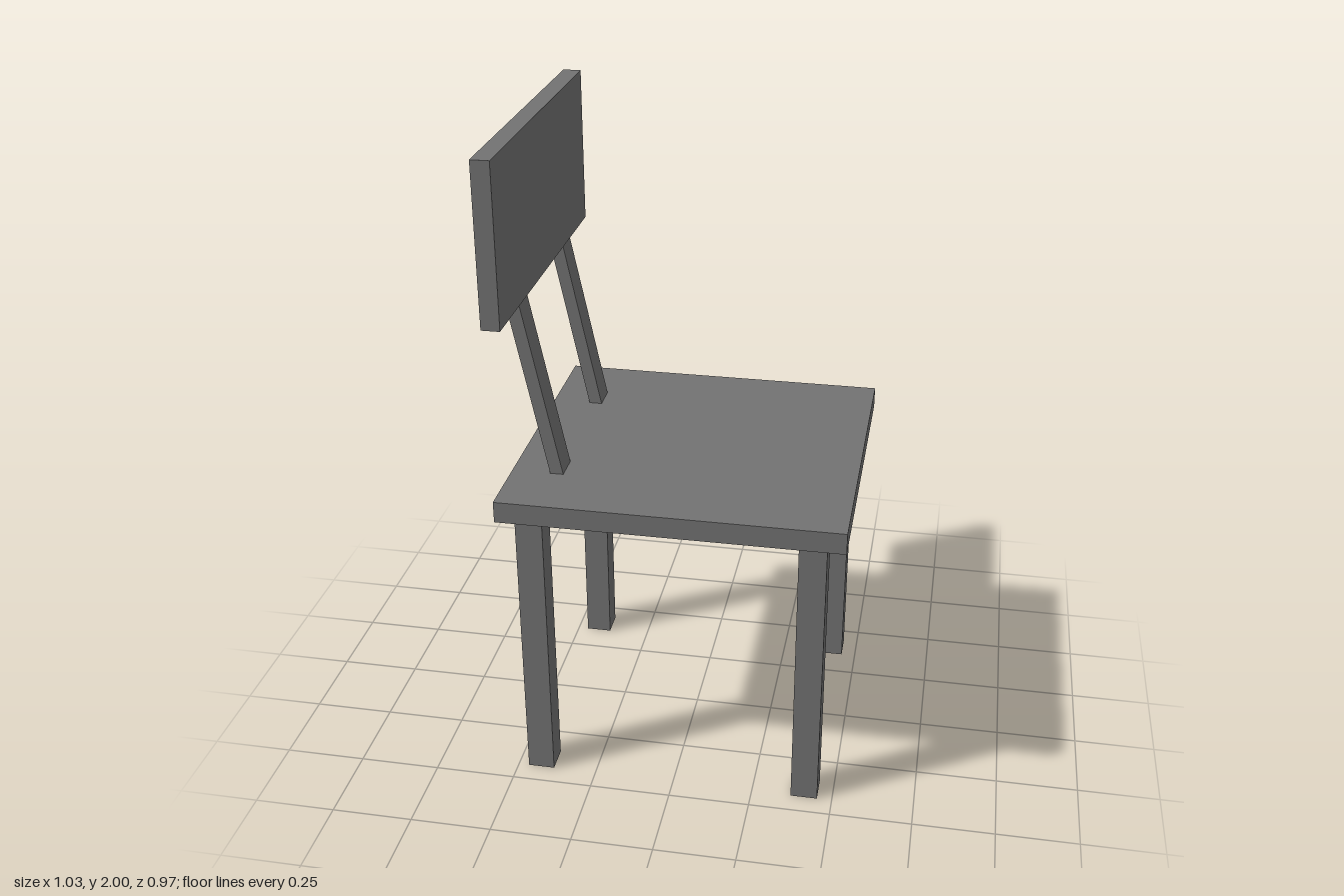
import * as THREE from 'three';

export function createModel() {
  const group = new THREE.Group();
  group.name = 'chair';
  const grey = new THREE.MeshStandardMaterial({ color: 0x737373 });
  grey.name = 'grey';

  // Box given by its minimum and maximum corners
  const box = (name, [x0, y0, z0], [x1, y1, z1]) => {
    const geometry = new THREE.BoxGeometry(x1 - x0, y1 - y0, z1 - z0);
    const mesh = new THREE.Mesh(geometry, grey);
    mesh.position.set((x0 + x1) / 2, (y0 + y1) / 2, (z0 + z1) / 2);
    mesh.name = name;
    group.add(mesh);
    return mesh;
  };

  // Seat and backrest panel
  box('seat', [-0.512, 0.917, -0.485], [0.512, 0.983, 0.485]);
  box('backrest', [-0.514, 1.52, -0.485], [-0.459, 2, 0.485]);

  // Four square legs
  for (const x of [-0.426, 0.413]) {
    for (const z of [-0.395, 0.392]) {
      box('leg', [x - 0.041, 0, z - 0.042], [x + 0.041, 0.917, z + 0.042]);
    }
  }

  // Two posts leaning back from the seat to the panel, with level ends
  const lean = -0.109;
  for (const z of [-0.253, 0.241]) {
    const post = box('backPost', [-0.395, 0.983, z - 0.043], [-0.355, 1.52, z + 0.043]);
    const position = post.geometry.attributes.position;
    for (let i = 0; i < position.count; i++) {
      if (position.getY(i) > 0) position.setX(i, position.getX(i) + lean);
    }
    post.geometry.computeVertexNormals();
  }

  return group;
}
